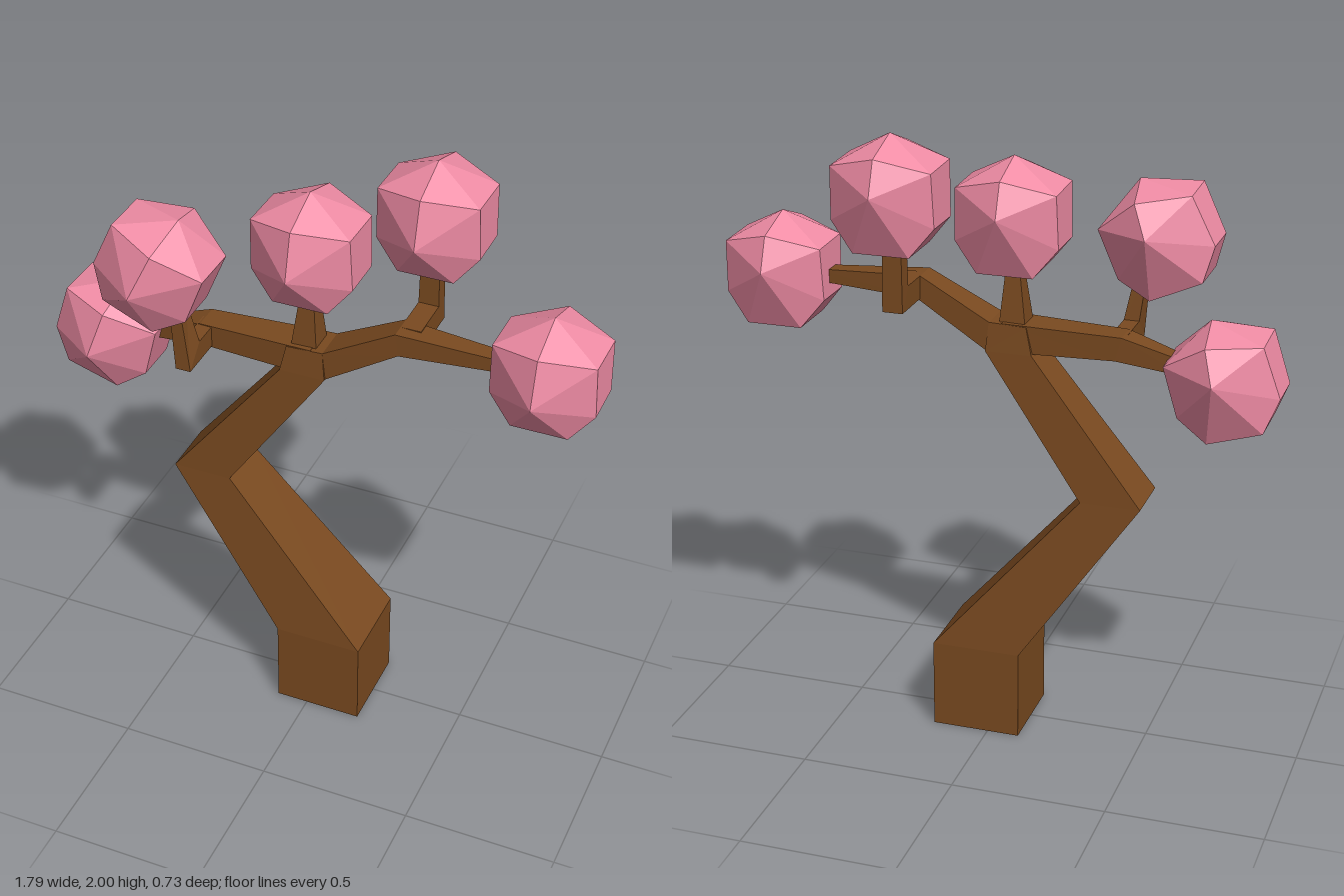
import * as THREE from 'three';
import { ConvexGeometry } from 'three/addons/geometries/ConvexGeometry.js';

const bark = new THREE.MeshStandardMaterial({ color: 0x7a4a20, flatShading: true });
const petal = new THREE.MeshStandardMaterial({ color: 0xf08ca5, flatShading: true });

// Four-sided limb lofted through sections [centre, u, v]; u x v points along the limb.
function limb(name, sections) {
  const pos = [], index = [];
  for (const [c, u, v] of sections) {
    for (const [s, t] of [[1, 1], [-1, 1], [-1, -1], [1, -1]]) {
      for (let k = 0; k < 3; k++) pos.push(c[k] + s * u[k] + t * v[k]);
    }
  }
  const quad = (a, b, c, d) => index.push(a, b, c, a, c, d);
  for (let i = 0; i < sections.length - 1; i++) {
    for (let j = 0; j < 4; j++) {
      const a = i * 4 + j, b = i * 4 + (j + 1) % 4;
      quad(a, b, b + 4, a + 4);
    }
  }
  const e = (sections.length - 1) * 4;
  quad(3, 2, 1, 0);
  quad(e, e + 1, e + 2, e + 3);
  const indexed = new THREE.BufferGeometry();
  indexed.setAttribute('position', new THREE.Float32BufferAttribute(pos, 3));
  indexed.setIndex(index);
  const geometry = indexed.toNonIndexed();
  geometry.computeVertexNormals();
  const mesh = new THREE.Mesh(geometry, bark);
  mesh.name = name;
  return mesh;
}

// Section across the z axis, spanning from (x0, y0) to (x1, y1) in the xy plane.
const span = (x0, y0, x1, y1, hz) => [
  [(x0 + x1) / 2, (y0 + y1) / 2, 0], [0, 0, hz], [(x1 - x0) / 2, (y1 - y0) / 2, 0],
];

// Faceted blossom: point on top, flat underneath, mirrored in x.
function blossomGeometry() {
  const points = [[0, 0.177, 0], [0, 0.12, 0.15], [0, -0.03, 0.19], [0, 0.13, -0.145], [0, 0.02, -0.188]]
    .map((p) => new THREE.Vector3(...p));
  const pairs = [[0.16, 0.09, 0.08], [0.16, 0.085, -0.09], [0.165, -0.085, 0.07],
    [0.165, -0.085, -0.08], [0.09, -0.177, 0.085], [0.09, -0.177, -0.1]];
  for (const [x, y, z] of pairs) {
    points.push(new THREE.Vector3(x, y, z), new THREE.Vector3(-x, y, z));
  }
  return new ConvexGeometry(points);
}

export function createModel() {
  const tree = new THREE.Group();
  tree.name = 'blossomTree';

  // Zigzag trunk
  tree.add(limb('trunk', [
    span(-0.105, 0, 0.185, 0, 0.145),
    span(-0.105, 0.295, 0.185, 0.295, 0.145),
    span(-0.485, 0.84, -0.29, 0.84, 0.095),
    span(-0.12, 1.3, 0.03, 1.3, 0.068),
    span(-0.1, 1.388, 0.02, 1.393, 0.06),
  ]));

  // Main fork
  tree.add(limb('leftBranch', [
    span(0.02, 1.393, 0.03, 1.3, 0.06),
    span(0.25, 1.515, 0.26, 1.44, 0.045),
    span(0.6, 1.497, 0.6, 1.457, 0.025),
  ]));
  tree.add(limb('rightBranch', [
    span(-0.02, 1.3, -0.02, 1.393, 0.06),
    span(-0.38, 1.305, -0.4, 1.382, 0.045),
    span(-0.6, 1.272, -0.6, 1.32, 0.025),
  ]));

  // Upright twig and the two elbowed twigs
  tree.add(limb('middleTwig', [
    [[-0.05, 1.36, 0], [0, 0, 0.045], [0.045, 0, 0]],
    [[-0.045, 1.6, 0], [0, 0, 0.02], [0.018, 0, 0]],
  ]));
  tree.add(limb('frontTwig', [
    [[-0.385, 1.345, 0], [0.025, 0, 0], [0, 0.035, 0]],
    [[-0.385, 1.345, 0.165], [0.025, 0, 0], [0, 0.035, -0.035]],
    [[-0.41, 1.54, 0.17], [0.018, 0, 0], [0, 0, -0.022]],
  ]));
  tree.add(limb('backTwig', [
    [[0.283, 1.478, 0], [0.033, 0, 0], [0, -0.037, 0]],
    [[0.283, 1.478, -0.175], [0.033, 0, 0], [0, -0.037, -0.027]],
    [[0.283, 1.7, -0.175], [0.03, 0, 0], [0, 0, -0.024]],
  ]));

  // Blossoms: centre and tilt
  const geometry = blossomGeometry();
  const blossoms = [
    [-0.72, 1.287, 0, -0.3], [-0.465, 1.667, 0.17, -0.42], [-0.043, 1.737, 0, 0],
    [0.288, 1.823, -0.18, 0], [0.725, 1.497, 0, 0],
  ];
  blossoms.forEach(([x, y, z, tilt], i) => {
    const blossom = new THREE.Mesh(geometry, petal);
    blossom.name = `blossom${i + 1}`;
    blossom.position.set(x, y, z);
    blossom.rotation.z = tilt;
    tree.add(blossom);
  });

  return tree;
}
